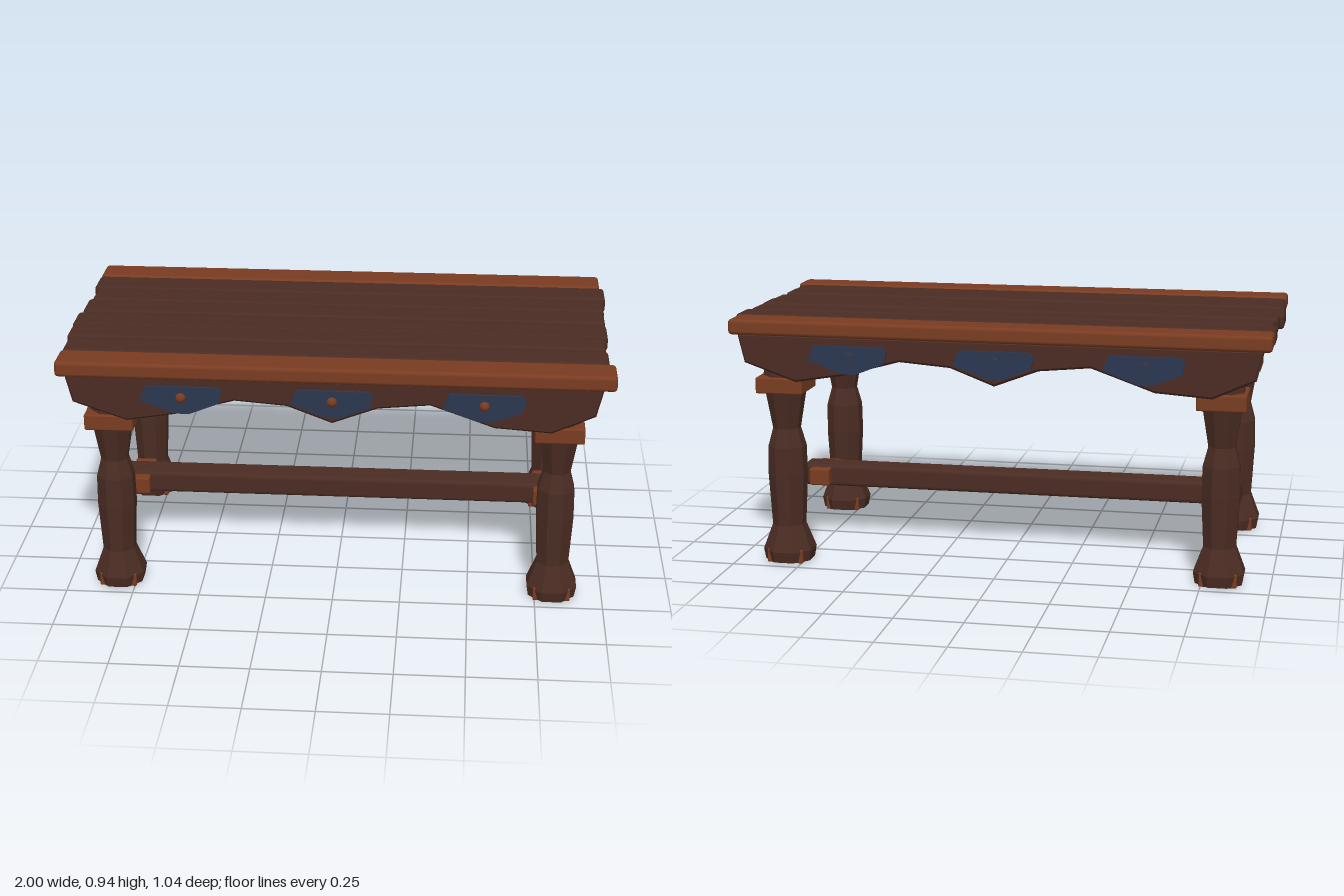
import * as THREE from 'three';
import { RoundedBoxGeometry } from 'three/addons/geometries/RoundedBoxGeometry.js';

const mat = (name, color, flatShading = false) => {
  const m = new THREE.MeshStandardMaterial({ color, flatShading });
  m.name = name;
  return m;
};

export function createModel() {
  const wood = mat('darkWood', 0x4a2c23, true);
  const trim = mat('reddishWood', 0x793c21);
  const iron = mat('blueIron', 0x2b3750);
  const table = new THREE.Group();
  table.name = 'table';

  const add = (parent, name, geometry, material, x = 0, y = 0, z = 0) => {
    const mesh = new THREE.Mesh(geometry, material);
    mesh.name = name;
    mesh.position.set(x, y, z);
    parent.add(mesh);
    return mesh;
  };
  const block = (parent, name, material, [w, h, d], [x, y, z], r = 0.012) =>
    add(parent, name, new RoundedBoxGeometry(w, h, d, 2, r), material, x, y, z);

  // Table top: eight uneven planks from back to front [left, right, centre height]
  const planks = [
    [-0.988, 0.985, 0.905], [-0.99, 1.0, 0.904], [-0.975, 0.988, 0.903], [-0.985, 0.985, 0.906],
    [-1.0, 0.988, 0.901], [-0.993, 0.973, 0.907], [-0.985, 0.98, 0.902], [-0.988, 1.0, 0.906],
  ];
  planks.forEach(([a, b, y], i) => {
    const edge = i === 0 || i === 7;
    block(table, edge ? 'edgePlank' : 'plank', edge ? trim : wood,
      [b - a, 0.058, 0.127], [(a + b) / 2, y, (i - 3.5) * 0.13], 0.014);
  });

  // Turned eight-sided legs with a square collar and a square foot
  const profile = [
    [0, 0.004], [0.085, 0.004], [0.092, 0.045], [0.058, 0.14], [0.068, 0.33], [0.066, 0.44],
    [0.048, 0.51], [0.071, 0.655], [0.076, 0.71], [0.065, 0.785], [0.077, 0.88],
  ].map(([r, y]) => new THREE.Vector2(r / Math.cos(Math.PI / 8), y));
  const legGeometry = new THREE.LatheGeometry(profile, 8, Math.PI / 8);
  for (const sx of [-1, 1]) {
    for (const sz of [-1, 1]) {
      const leg = new THREE.Group();
      leg.name = 'leg';
      leg.position.set(sx * 0.812, 0, sz * 0.383);
      add(leg, 'legPost', legGeometry, wood);
      block(leg, 'legCollar', trim, [0.178, 0.06, 0.178], [0, 0.682, 0], 0.006);
      block(leg, 'foot', trim, [0.138, 0.052, 0.138], [0, 0.026, 0], 0.005);
      table.add(leg);
    }
  }

  // Carved apron board with iron plates, used on the front and turned round for the back
  const outline = (points) => new THREE.Shape(points.map(([x, y]) => new THREE.Vector2(x, y)));
  const bevel = 0.008;
  const apronGeometry = new THREE.ExtrudeGeometry(outline([
    [-0.95, 0.87], [-0.927, 0.777], [-0.74, 0.712], [-0.56, 0.742], [-0.35, 0.8], [-0.16, 0.785],
    [0, 0.724], [0.16, 0.785], [0.35, 0.803], [0.58, 0.722], [0.78, 0.708], [0.927, 0.775],
    [0.95, 0.87],
  ]), { depth: 0.036, bevelEnabled: true, bevelSize: bevel, bevelThickness: bevel, bevelSegments: 1 });
  const plateGeometry = new THREE.ExtrudeGeometry(outline([
    [-0.125, 0.845], [0.125, 0.845], [0.147, 0.832], [0.137, 0.785], [0.03, 0.742],
    [-0.02, 0.742], [-0.148, 0.79],
  ]), { depth: 0.009, bevelEnabled: false });
  const domeGeometry = new THREE.SphereGeometry(0.02, 8, 4, 0, Math.PI * 2, 0, Math.PI / 2);
  const rimGeometry = new THREE.CylinderGeometry(0.02, 0.02, 0.01, 8, 1, true);

  for (const front of [true, false]) {
    const apron = new THREE.Group();
    apron.name = front ? 'frontApron' : 'backApron';
    add(apron, 'apronBoard', apronGeometry, wood, 0, 0, 0.448);
    for (const x of [-0.54, 0, 0.54]) {
      add(apron, 'ironPlate', plateGeometry, iron, x, 0, 0.492);
      // Domed rivets in front, hollow rivet rims behind
      const rivet = add(apron, 'rivet', front ? domeGeometry : rimGeometry, trim,
        x, 0.804, front ? 0.497 : 0.502);
      rivet.rotation.x = Math.PI / 2;
    }
    if (!front) apron.rotation.y = Math.PI;
    table.add(apron);
  }

  // Long stretcher beam with a cross peg near each end
  block(table, 'stretcher', wood, [1.72, 0.084, 0.11], [0, 0.243, 0], 0.014);
  for (const sx of [-1, 1]) {
    block(table, 'crossPeg', trim, [0.08, 0.066, 0.185], [sx * 0.783, 0.243, 0], 0.006);
  }

  return table;
}
